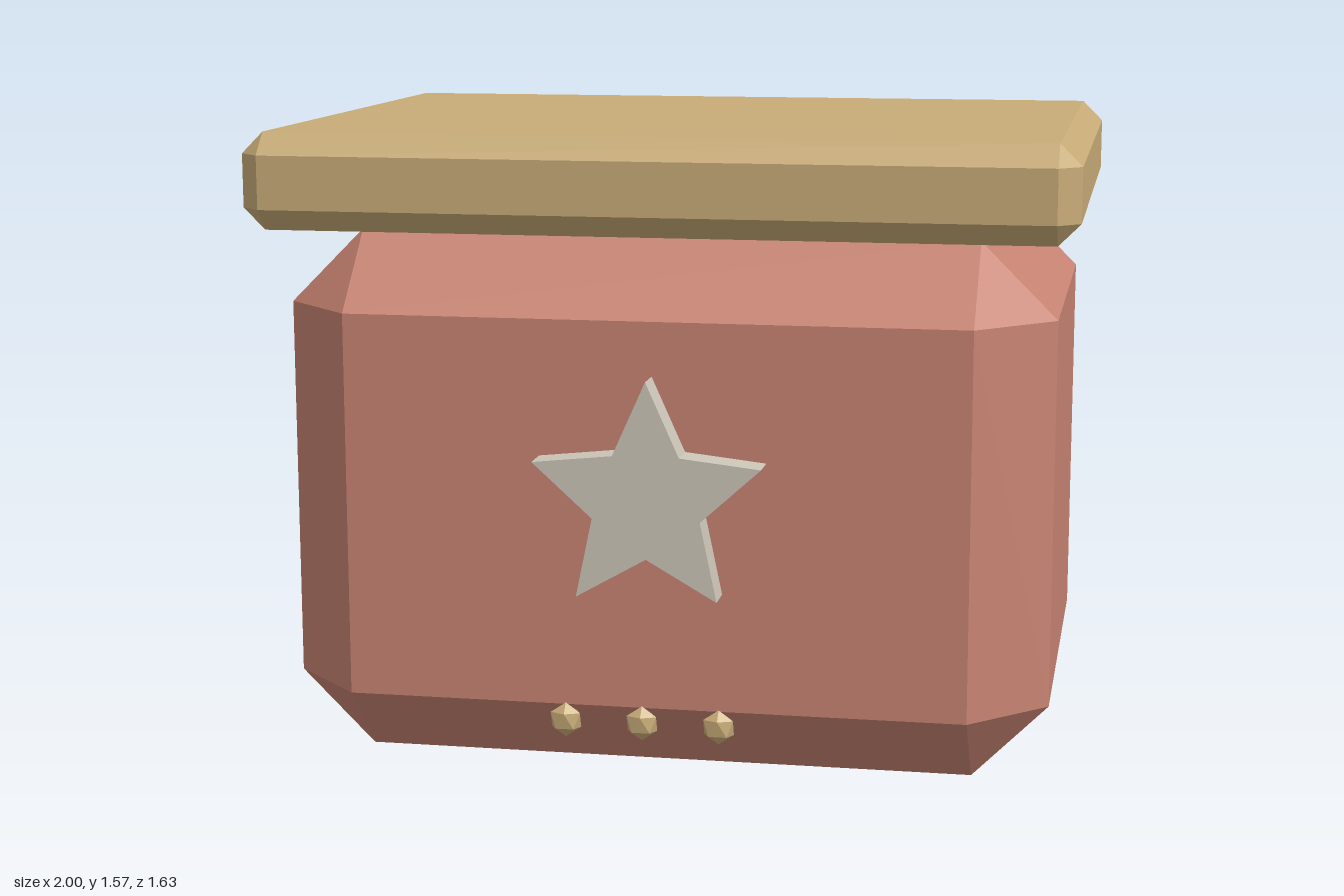
import * as THREE from 'three';
import { ConvexGeometry } from 'three/addons/geometries/ConvexGeometry.js';

// Box with every edge and corner cut by c
function chamferBox(w, h, d, c) {
  const pts = [];
  for (const sx of [-1, 1]) for (const sy of [-1, 1]) for (const sz of [-1, 1]) {
    const s = new THREE.Vector3(sx, sy, sz);
    for (let axis = 0; axis < 3; axis++) {
      const p = new THREE.Vector3(w / 2 - c, h / 2 - c, d / 2 - c);
      p.setComponent(axis, p.getComponent(axis) + c);
      pts.push(p.multiply(s));
    }
  }
  return new ConvexGeometry(pts);
}

export function createModel() {
  const group = new THREE.Group();
  const material = (name, color) => {
    const m = new THREE.MeshStandardMaterial({ color, flatShading: true });
    m.name = name;
    return m;
  };
  const clay = material('clayRed', 0xc88472);
  const tan = material('tan', 0xc8ac78);
  const stone = material('paleGrey', 0xccc6b8);

  const add = (name, geometry, mat, x, y, z) => {
    const mesh = new THREE.Mesh(geometry, mat);
    mesh.name = name;
    mesh.position.set(x, y, z);
    group.add(mesh);
    return mesh;
  };

  // Chest body and floating lid
  add('body', chamferBox(1.89, 1.318, 1.42, 0.185), clay, 0, 0.659, -0.05);
  add('lid', chamferBox(2, 0.236, 1.524, 0.053), tan, 0, 1.45, -0.05);

  // Five-pointed star on the front
  const star = new THREE.Shape();
  for (let i = 0; i < 10; i++) {
    const a = Math.PI / 2 + (i * Math.PI) / 5;
    const r = i % 2 ? 0.137 : 0.29;
    star[i ? 'lineTo' : 'moveTo'](r * Math.cos(a), r * Math.sin(a));
  }
  star.closePath();
  const starGeometry = new THREE.ExtrudeGeometry(star, { depth: 0.08, bevelEnabled: false });
  add('star', starGeometry, stone, 0, 0.712, 0.66);

  // Row of flattened, faceted studs, each with a vertex pointing up
  const stud = new THREE.IcosahedronGeometry(0.042, 0);
  stud.rotateX(-Math.atan((1 + Math.sqrt(5)) / 2));
  stud.scale(1, 1, 0.6);
  for (const x of [-0.185, 0, 0.185]) add('stud', stud, tan, x, 0.188, 0.793);

  return group;
}
